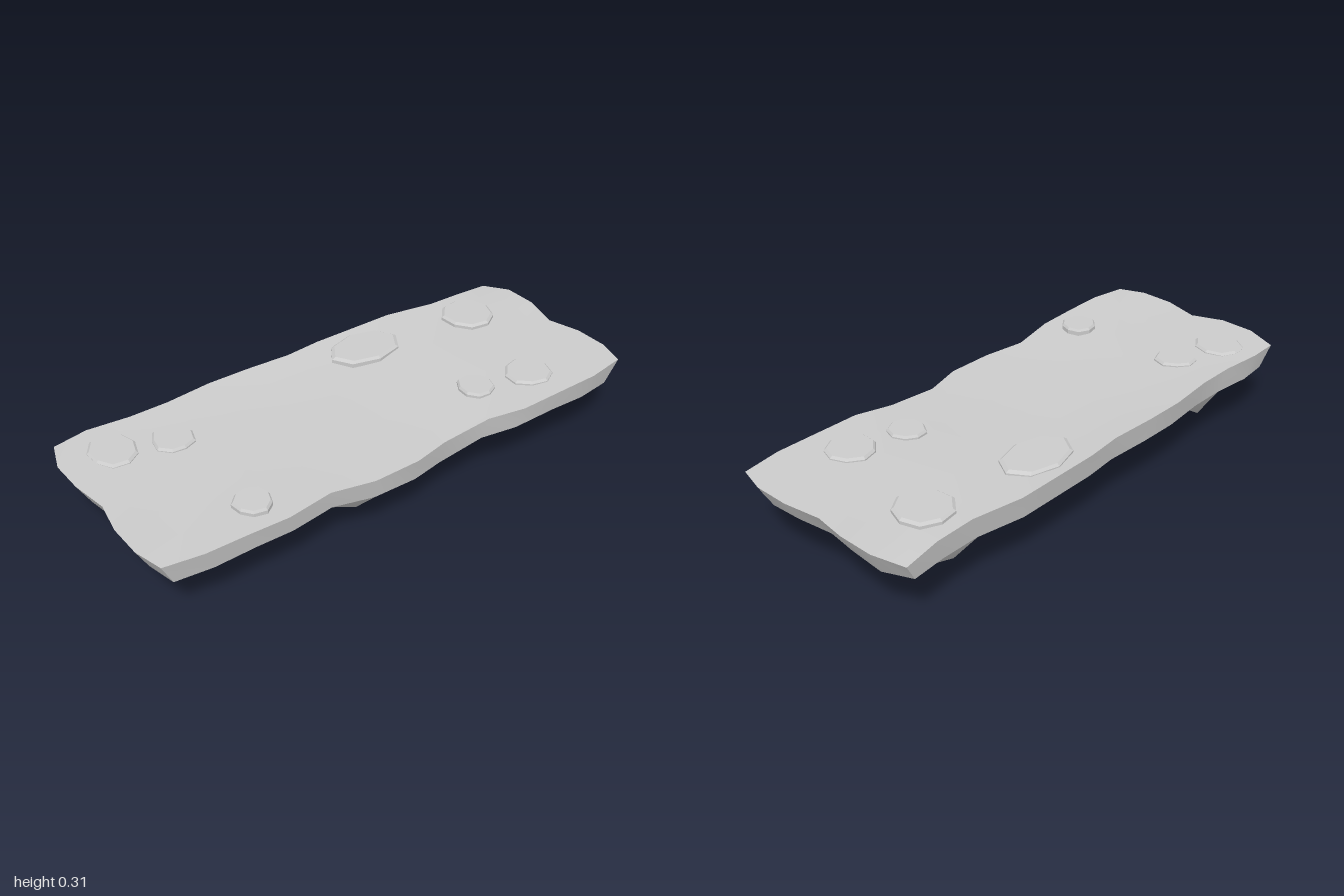
import * as THREE from 'three';
import { toCreasedNormals } from 'three/addons/utils/BufferGeometryUtils.js';

const NX = 12, NZ = 6;

// Plan of the ragged rim: x stations, then z of the long edges and x of the ends
const xs = [-0.97, -0.83, -0.67, -0.52, -0.34, -0.18, 0, 0.14, 0.34, 0.48, 0.67, 0.82, 0.96];
const backZ = [-0.385, -0.397, -0.38, -0.38, -0.397, -0.395, -0.385, -0.397, -0.397, -0.397, -0.362, -0.362, -0.374];
const frontZ = [0.37, 0.394, 0.394, 0.394, 0.362, 0.394, 0.394, 0.36, 0.36, 0.394, 0.394, 0.394, 0.37];
const endX = [0.957, 1, 1, 0.973, 1, 1, 0.97];

// Heights along the rim
const backTop = [0.29, 0.298, 0.298, 0.298, 0.298, 0.298, 0.298, 0.298, 0.298, 0.298, 0.298, 0.295, 0.28];
const frontTop = [0.296, 0.297, 0.294, 0.288, 0.28, 0.275, 0.277, 0.272, 0.287, 0.293, 0.296, 0.298, 0.3];
const endTop = [0, 0.297, 0.3, 0.29, 0.298, 0.3, 0];
const frontFoot = [0.205, 0.212, 0.215, 0.212, 0.203, 0.193, 0.19, 0.18, 0.203, 0.212, 0.215, 0.21, 0.205];
const endFoot = [0.205, 0.205, 0.22, 0.21, 0.22, 0.215, 0.205];

// Hanging rock points, keyed by grid column and row
const peaks = {
  '6,2': 0, '8,3': 0.012, '2,1': 0.067, '10,2': 0.08, '5,5': 0.073, '1,5': 0.115,
  '2,5': 0.13, '3,5': 0.168, '10,5': 0.103, '11,5': 0.15, '1,1': 0.115, '4,4': 0.125,
  '4,1': 0.13, '5,2': 0.1, '9,3': 0.13, '9,1': 0.135, '10,1': 0.1, '11,4': 0.19,
  '11,2': 0.145, '11,1': 0.15,
};

const isRim = (i, j) => i === 0 || i === NX || j === 0 || j === NZ;

function plan(i, j) {
  const side = (i - 6) / 6;
  const onEnd = i === 0 || i === NX, onEdge = j === 0 || j === NZ;
  const x = onEnd ? side * endX[j] : onEdge ? xs[i] : side;
  const z = onEdge ? (j === 0 ? backZ : frontZ)[i] : (j - 3) * 0.1325;
  return [x, z];
}

function topPoint(i, j) {
  const [x, z] = plan(i, j);
  const t = Math.sqrt(j / NZ);
  const across = backTop[i] * (1 - t) + frontTop[i] * t;
  const onEnd = (i === 0 || i === NX) && j > 0 && j < NZ;
  return [x, onEnd ? endTop[j] : across - (isRim(i, j) ? 0 : 0.003), z];
}

function bottomPoint(i, j) {
  const [x, z] = plan(i, j);
  if (isRim(i, j)) {
    const y = j === 0 ? 0.207 : j === NZ ? frontFoot[i] : endFoot[j];
    return [x * 0.955, y, z * 0.96];
  }
  return [x * 0.995, peaks[`${i},${j}`] ?? 0.162 + 0.01 * Math.sin(i * 2.1 + j * 1.7), z];
}

// Indexed surface over rows x columns of points
function surface(cols, rows, point, flip) {
  const pos = [], index = [];
  for (let j = 0; j <= rows; j++) for (let i = 0; i <= cols; i++) pos.push(...point(i, j));
  for (let j = 0; j < rows; j++) {
    for (let i = 0; i < cols; i++) {
      const a = j * (cols + 1) + i, b = a + 1, c = a + cols + 1, d = c + 1;
      if (flip) index.push(a, b, c, b, d, c);
      else index.push(a, c, b, b, c, d);
    }
  }
  const g = new THREE.BufferGeometry();
  g.setAttribute('position', new THREE.Float32BufferAttribute(pos, 3));
  g.setIndex(index);
  g.computeVertexNormals();
  return g;
}

// Rim cells in order: front, right end, back, left end
function rimLoop() {
  const loop = [];
  for (let i = 0; i < NX; i++) loop.push([i, NZ]);
  for (let j = NZ; j > 0; j--) loop.push([NX, j]);
  for (let i = NX; i > 0; i--) loop.push([i, 0]);
  for (let j = 0; j <= NZ; j++) loop.push([0, j]);
  return loop;
}

// Flat stepping stone: irregular outline with a bevelled edge
function stone([cx, cz, rx, rz, top, sides, rough], seed) {
  const rings = [[1, 0.265], [1, top - 0.008], [0.9, top], [0, top]];
  const g = surface(sides, 3, (i, j) => {
    const k = i % sides, a = (k / sides) * Math.PI * 2;
    const r = rings[j][0] * (1 + rough * Math.sin(k * 2.3 + seed * 1.9));
    return [cx + Math.cos(a) * rx * r, rings[j][1], cz - Math.sin(a) * rz * r];
  }, true);
  return toCreasedNormals(g, 0.25);
}

export function createModel() {
  const group = new THREE.Group();
  const material = new THREE.MeshStandardMaterial({ color: 0xcccccc });
  const add = (name, geometry) => {
    const mesh = new THREE.Mesh(geometry, material);
    mesh.name = name;
    group.add(mesh);
  };

  add('platformTop', surface(NX, NZ, topPoint, false));
  add('rockyUnderside', surface(NX, NZ, bottomPoint, true));

  const loop = rimLoop();
  const wall = surface(loop.length - 1, 1, (k, j) => (j ? topPoint : bottomPoint)(...loop[k]), true);
  add('rimWall', toCreasedNormals(wall, 0.6));

  // Stones: x, z, half width, half depth, top height, sides, roughness
  const stones = [
    [-0.81, -0.24, 0.085, 0.098, 0.305, 9, 0.04],
    [-0.615, -0.18, 0.074, 0.078, 0.304, 9, 0.08],
    [0.263, -0.26, 0.15, 0.1, 0.306, 8, 0.01],
    [0.73, -0.21, 0.104, 0.104, 0.313, 9, 0.03],
    [0.43, 0.185, 0.066, 0.071, 0.304, 9, 0.04],
    [0.643, 0.23, 0.09, 0.088, 0.306, 9, 0.04],
    [-0.58, 0.27, 0.068, 0.068, 0.311, 9, 0.05],
  ];
  stones.forEach((s, n) => add(`stone${n + 1}`, stone(s, n)));
  return group;
}
